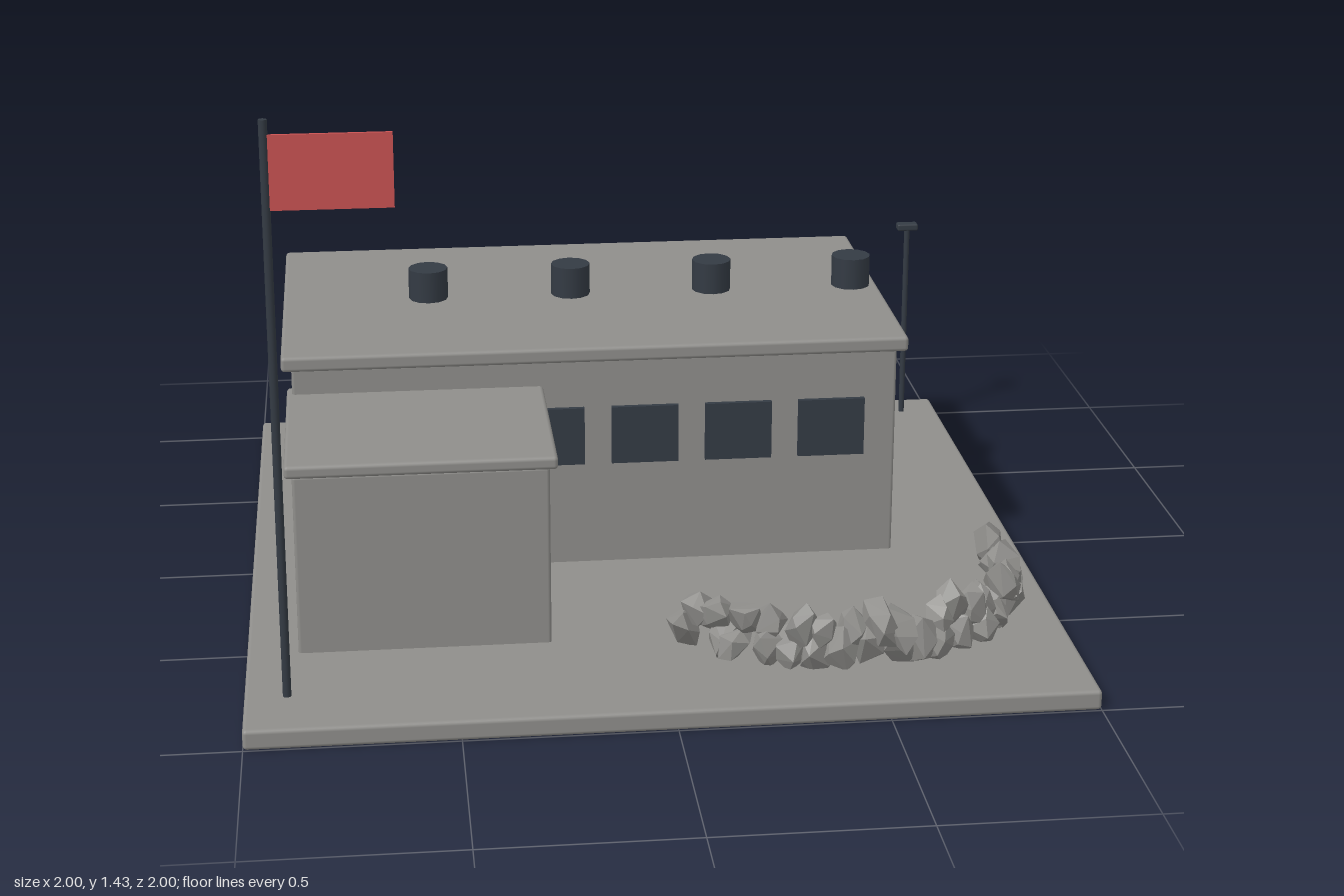
import * as THREE from 'three';
import { RoundedBoxGeometry } from 'three/addons/geometries/RoundedBoxGeometry.js';
import { ConvexGeometry } from 'three/addons/geometries/ConvexGeometry.js';

const material = (name, color, extra = {}) => {
  const m = new THREE.MeshStandardMaterial({ color, ...extra });
  m.name = name;
  return m;
};

export function createModel() {
  const model = new THREE.Group();
  model.name = 'guardBuilding';
  const concrete = material('concrete', 0x8f8e8b);
  const rock = material('rock', 0x8f8e8b, { flatShading: true });
  const dark = material('darkMetal', 0x343b44);
  const red = material('red', 0xc95252);

  const add = (name, geometry, mat, x = 0, y = 0, z = 0, parent = model) => {
    const mesh = new THREE.Mesh(geometry, mat);
    mesh.name = name;
    mesh.position.set(x, y, z);
    parent.add(mesh);
    return mesh;
  };
  // Box given by its limits on each axis; a bevel softens the edges
  const block = (name, mat, [x0, x1], [y0, y1], [z0, z1], bevel = 0, parent = model) => {
    const size = [x1 - x0, y1 - y0, z1 - z0];
    const geometry = bevel
      ? new RoundedBoxGeometry(...size, 2, bevel)
      : new THREE.BoxGeometry(...size);
    return add(name, geometry, mat, (x0 + x1) / 2, (y0 + y1) / 2, (z0 + z1) / 2, parent);
  };
  const group = (name) => {
    const g = new THREE.Group();
    g.name = name;
    model.add(g);
    return g;
  };

  // Ground slab
  block('groundSlab', concrete, [-1, 1], [0, 0.05], [-1, 1], 0.01);

  // Main hall and annex, each with an overhanging roof slab
  block('mainHall', concrete, [-0.88, 0.667], [0.04, 0.606], [-0.737, 0.118], 0.008);
  block('mainRoof', concrete, [-0.905, 0.692], [0.605, 0.645], [-0.767, 0.143], 0.01);
  block('annex', concrete, [-0.876, -0.264], [0.04, 0.506], [0.08, 0.6], 0.008);
  block('annexRoof', concrete, [-0.894, -0.245], [0.505, 0.538], [0.06, 0.616], 0.01);

  // Rows of windows on the front and back walls
  const windows = group('windows');
  for (let i = 0; i < 6; i++) {
    const x = -0.71 + i * 0.2415;
    for (const z of [0.121, -0.74]) {
      block('window', dark, [x - 0.086, x + 0.086], [0.325, 0.478], [z - 0.01, z + 0.01], 0, windows);
    }
  }

  // Door with a red panel above it
  block('door', dark, [0.65, 0.678], [0.05, 0.47], [-0.448, -0.17]);
  block('doorPanel', red, [0.65, 0.682], [0.47, 0.575], [-0.448, -0.17]);

  // Roof vents
  const vents = group('roofVents');
  for (let i = 0; i < 4; i++) {
    add('roofVent', new THREE.CylinderGeometry(0.052, 0.052, 0.09, 12), dark, -0.52 + i * 0.38, 0.683, -0.312, vents);
  }

  // Flagpole and flag
  const flag = group('flagpole');
  add('pole', new THREE.CylinderGeometry(0.01, 0.01, 1.385, 8), dark, -0.9, 0.7425, 0.827, flag);
  block('flag', red, [-0.892, -0.618], [1.228, 1.4], [0.823, 0.831], 0, flag);

  // Lamp post
  const lamp = group('lampPost');
  add('post', new THREE.CylinderGeometry(0.008, 0.008, 0.57, 8), dark, 0.895, 0.335, -0.9, lamp);
  block('lampHead', dark, [0.865, 0.925], [0.615, 0.635], [-0.916, -0.884], 0.005, lamp);

  // Curved wall of heaped angular rocks
  const rocks = group('rockWall');
  let seed = 17;
  const random = () => {
    seed = (seed * 16807) % 2147483647;
    return seed / 2147483647;
  };
  const spread = (s) => (random() - 0.5) * 2 * s;
  const path = new THREE.CatmullRomCurve3(
    [[0.07, 0.65], [0.15, 0.7], [0.27, 0.77], [0.42, 0.8], [0.56, 0.79], [0.7, 0.74],
      [0.81, 0.65], [0.87, 0.54], [0.89, 0.43], [0.87, 0.34]].map(([x, z]) => new THREE.Vector3(x, 0, z)));
  const makeRock = (size) => {
    const points = [];
    for (let k = 0; k < 13; k++) {
      const y = 1 - (2 * (k + 0.5)) / 13;
      const a = k * 2.4 + spread(0.5);
      const r = Math.sqrt(1 - y * y);
      const s = size * (0.8 + random() * 0.35);
      points.push(new THREE.Vector3(Math.cos(a) * r * 0.8 * s, y * 1.15 * s, Math.sin(a) * r * 0.8 * s));
    }
    return new ConvexGeometry(points);
  };
  const layers = [
    { count: 19, y: 0.095, size: 0.058 },
    { count: 18, y: 0.15, size: 0.055 },
  ];
  for (const { count, y, size } of layers) {
    for (let i = 0; i < count; i++) {
      const p = path.getPointAt((i + 0.5 * random()) / (count - 0.5));
      const stone = add('rock', makeRock(size * (0.9 + random() * 0.2)), rock,
        p.x + spread(0.015), y + spread(0.01), p.z + spread(0.015), rocks);
      stone.rotation.set(spread(0.7), spread(3), spread(0.7));
    }
  }
  return model;
}
